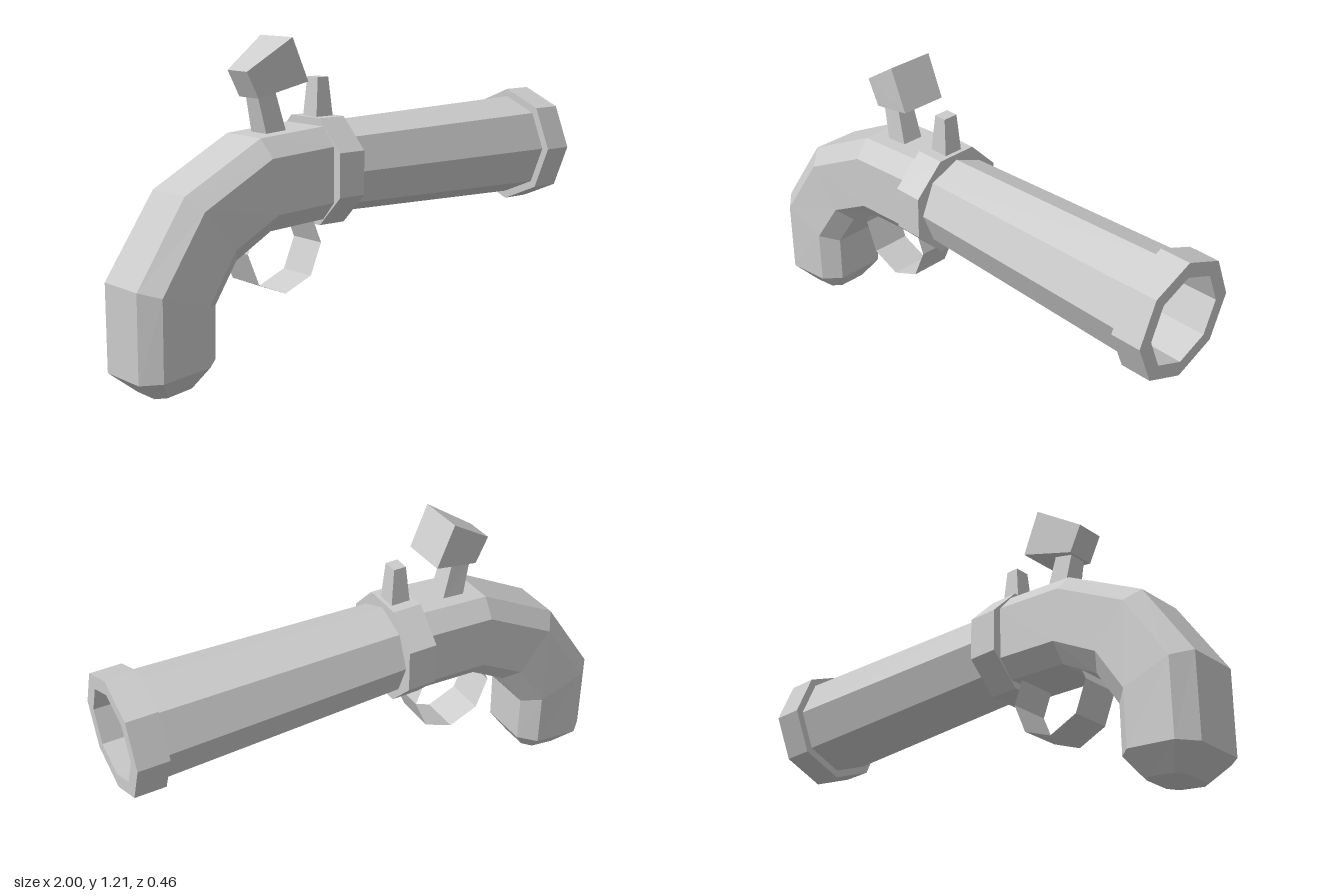
import * as THREE from 'three';

const AXIS_Y = 0.72; // height of the barrel axis

function makeMesh(name, geometry, side = THREE.FrontSide) {
  const material = new THREE.MeshStandardMaterial({ color: 0xcccccc, flatShading: true, side });
  const mesh = new THREE.Mesh(geometry, material);
  mesh.name = name;
  return mesh;
}

// Eight-sided turned part lying along x; profile is [radius, x]
function turned(name, profile, twist = 0) {
  const points = profile.map(([r, x]) => new THREE.Vector2(r, x));
  const geometry = new THREE.LatheGeometry(points, 8);
  geometry.rotateY(twist).rotateZ(-Math.PI / 2).translate(0, AXIS_Y, 0);
  return makeMesh(name, geometry);
}

// Section outlines: [share of the way from a to b, share of half width]
const BOX = [[0, 1], [0, -1], [1, -1], [1, 1]];
const CHAMFERED = [
  [0, 0.63], [0, -0.63], [0.2, -1], [0.8, -1],
  [1, -0.63], [1, 0.63], [0.8, 1], [0.2, 1],
];

// Solid through sections [ax, ay, bx, by, halfWidth], capped at both ends
function loft(name, outline, sections) {
  const rings = sections.map(([ax, ay, bx, by, w]) =>
    outline.map(([t, z]) => [ax + (bx - ax) * t, ay + (by - ay) * t, z * w]));
  const n = outline.length;
  const pos = [];
  const tri = (a, b, c) => pos.push(...a, ...b, ...c);
  for (let s = 0; s < rings.length - 1; s++) {
    for (let i = 0; i < n; i++) {
      const j = (i + 1) % n;
      const p = rings[s], q = rings[s + 1];
      tri(p[i], p[j], q[j]);
      tri(p[i], q[j], q[i]);
    }
  }
  const first = rings[0], last = rings[rings.length - 1];
  for (let i = 1; i < n - 1; i++) {
    tri(first[0], first[i + 1], first[i]);
    tri(last[0], last[i], last[i + 1]);
  }
  const geometry = new THREE.BufferGeometry();
  geometry.setAttribute('position', new THREE.Float32BufferAttribute(pos, 3));
  geometry.computeVertexNormals();
  return makeMesh(name, geometry);
}

export function createModel() {
  const model = new THREE.Group();
  model.name = 'flintlockPistol';

  // Flared barrel, muzzle ring and hollow bore
  model.add(turned('barrel', [[0.173, -0.1], [0.2, 0.9]]));
  model.add(turned('muzzleRing', [[0.195, 0.88], [0.23, 0.88], [0.23, 1], [0.172, 1]]));
  model.add(turned('bore', [[0.172, 1], [0.162, -0.07], [0, -0.07]]));

  // Collar between barrel and grip, turned so a flat faces up
  model.add(turned('collar',
    [[0, -0.2], [0.213, -0.2], [0.213, -0.085], [0, -0.085]], Math.PI / 8));

  // Curved grip with a bevelled butt
  model.add(loft('grip', CHAMFERED, [
    [-0.19, 0.89, -0.19, 0.55, 0.163],
    [-0.48, 0.87, -0.44, 0.535, 0.158],
    [-0.80, 0.70, -0.59, 0.45, 0.155],
    [-1.00, 0.40, -0.685, 0.305, 0.16],
    [-1.00, 0.08, -0.685, 0.115, 0.156],
    [-0.91, 0.005, -0.745, 0.028, 0.085],
  ]));

  // Hammer: leaning stem with a flared head
  const hammer = new THREE.Group();
  hammer.name = 'hammer';
  hammer.add(loft('hammerStem', BOX, [
    [-0.32, 0.86, -0.41, 0.86, 0.045],
    [-0.37, 1.04, -0.445, 1.02, 0.035],
  ]));
  hammer.add(loft('hammerHead', BOX, [
    [-0.33, 1.215, -0.26, 1.055, 0.093],
    [-0.505, 1.10, -0.455, 1.003, 0.057],
  ]));
  model.add(hammer);

  // Sight on top of the collar
  model.add(loft('sight', BOX, [
    [-0.1, 0.9, -0.18, 0.9, 0.04],
    [-0.115, 1.06, -0.165, 1.06, 0.03],
  ]));

  // Trigger guard: a thin eight-sided band, its top sunk in the grip
  const band = new THREE.CylinderGeometry(0.167, 0.167, 0.16, 8, 1, true);
  band.rotateX(Math.PI / 2).translate(-0.36, 0.458, 0);
  model.add(makeMesh('triggerGuard', band, THREE.DoubleSide));

  return model;
}
